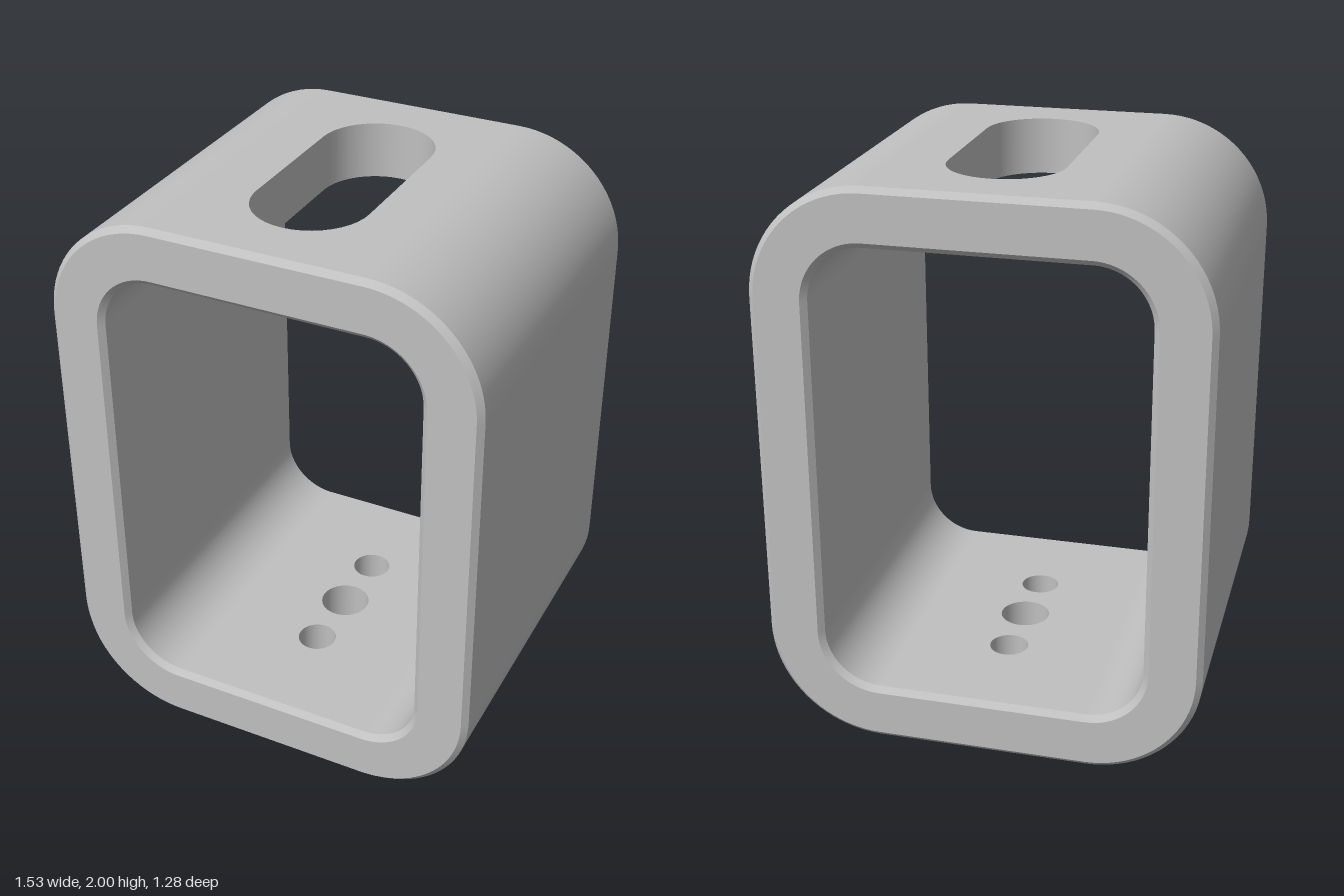
import * as THREE from 'three';

const CX = 0.37, CY = 0.605;   // centres of the rounded corners, from the middle
const R_OUT = 0.395, R_IN = 0.195, DEPTH = 0.64, BEVEL = 0.02;
const MID = 1, SEG = 20;

// Builds quads between two rows of points, with given normals
function strip(rowA, rowB, normals, skip = () => false) {
  const n = rowA.length, pos = [], nor = [], idx = [];
  for (let i = 0; i < n; i++) {
    pos.push(...rowA[i], ...rowB[i]);
    nor.push(...normals[i], ...normals[i]);
    if (skip(i)) continue;
    const a = 2 * i, b = 2 * ((i + 1) % n);
    idx.push(a, b, b + 1, a, b + 1, a + 1);
  }
  const g = new THREE.BufferGeometry();
  g.setAttribute('position', new THREE.Float32BufferAttribute(pos, 3));
  g.setAttribute('normal', new THREE.Float32BufferAttribute(nor, 3));
  g.setIndex(idx);
  return g;
}

// Outline of a slot (half = 0 gives a circle): point and direction in x, z
function slotOutline({ z, r, half }) {
  const out = [];
  for (const side of [1, -1]) {
    for (let j = 0; j <= SEG; j++) {
      const a = (side > 0 ? 0 : Math.PI) + (j / SEG) * Math.PI;
      const c = Math.cos(a), s = Math.sin(a);
      out.push({ x: r * c, z: z + side * half + r * s, nx: c, nz: s });
    }
  }
  return out;
}

export function createModel() {
  const model = new THREE.Group();
  const grey = new THREE.MeshStandardMaterial({ color: 0xc0c0c0 });
  grey.name = 'grey';
  const add = (geometry, name) => {
    const mesh = new THREE.Mesh(geometry, grey);
    mesh.name = name;
    model.add(mesh);
  };

  // Stations around the rounded rectangle
  const stations = [];
  [[1, 1], [-1, 1], [-1, -1], [1, -1]].forEach(([sx, sy], k) => {
    for (let j = 0; j <= SEG; j++) {
      const a = (k + j / SEG) * Math.PI / 2;
      stations.push({ x: sx * CX, y: MID + sy * CY, c: Math.cos(a), s: Math.sin(a) });
    }
  });
  const isTopOrBottom = i => i === SEG || i === 2 * (SEG + 1) + SEG;

  // Wall section as (offset from corner centre, z), swept round the stations
  const zi = DEPTH - BEVEL;
  const section = [
    [R_OUT, -zi, 'outerSkin'], [R_OUT, zi, 'frontOuterBevel'],
    [R_OUT - BEVEL, DEPTH, 'frontRim'], [R_IN + BEVEL, DEPTH, 'frontInnerBevel'],
    [R_IN, zi, 'innerSkin'], [R_IN, -zi, 'backInnerBevel'],
    [R_IN + BEVEL, -DEPTH, 'backRim'], [R_OUT - BEVEL, -DEPTH, 'backOuterBevel'],
  ];
  section.forEach(([r0, z0, name], k) => {
    const [r1, z1] = section[(k + 1) % section.length];
    const len = Math.hypot(r1 - r0, z1 - z0);
    const nr = (z1 - z0) / len, nz = (r0 - r1) / len;
    const row = (r, z) => stations.map(p => [p.x + r * p.c, p.y + r * p.s, z]);
    const normals = stations.map(p => [nr * p.c, nr * p.s, nz]);
    // The flat top and bottom of the skins are left to the pierced panels
    const skip = name.endsWith('Skin') ? isTopOrBottom : undefined;
    add(strip(row(r0, z0), row(r1, z1), normals, skip), name);
  });

  // Flat panel faces with openings, and the walls of those openings
  function panel(name, yLow, yHigh, holes) {
    const shape = new THREE.Shape([[-CX, -zi], [CX, -zi], [CX, zi], [-CX, zi]]
      .map(p => new THREE.Vector2(...p)));
    for (const hole of holes) {
      const pts = slotOutline(hole);
      const flat = pts.filter((p, i) => hole.half > 0 || i % (SEG + 1) < SEG);
      shape.holes.push(new THREE.Path(flat.map(p => new THREE.Vector2(p.x, -p.z))));
      add(strip(pts.map(p => [p.x, yLow, p.z]), pts.map(p => [p.x, yHigh, p.z]),
        pts.map(p => [-p.nx, 0, -p.nz])), name + 'HoleWall');
    }
    add(new THREE.ShapeGeometry(shape).rotateX(-Math.PI / 2).translate(0, yHigh, 0), name + 'UpperFace');
    // The openings are symmetric in z, so the same shape serves the underside
    add(new THREE.ShapeGeometry(shape).rotateX(Math.PI / 2).translate(0, yLow, 0), name + 'LowerFace');
  }
  panel('topPanel', MID + CY + R_IN, MID + CY + R_OUT, [{ z: 0, r: 0.2, half: 0.24 }]);
  panel('bottomPanel', MID - CY - R_OUT, MID - CY - R_IN, [
    { z: -0.24, r: 0.07, half: 0 },
    { z: 0, r: 0.09, half: 0 },
    { z: 0.24, r: 0.07, half: 0 },
  ]);
  return model;
}
